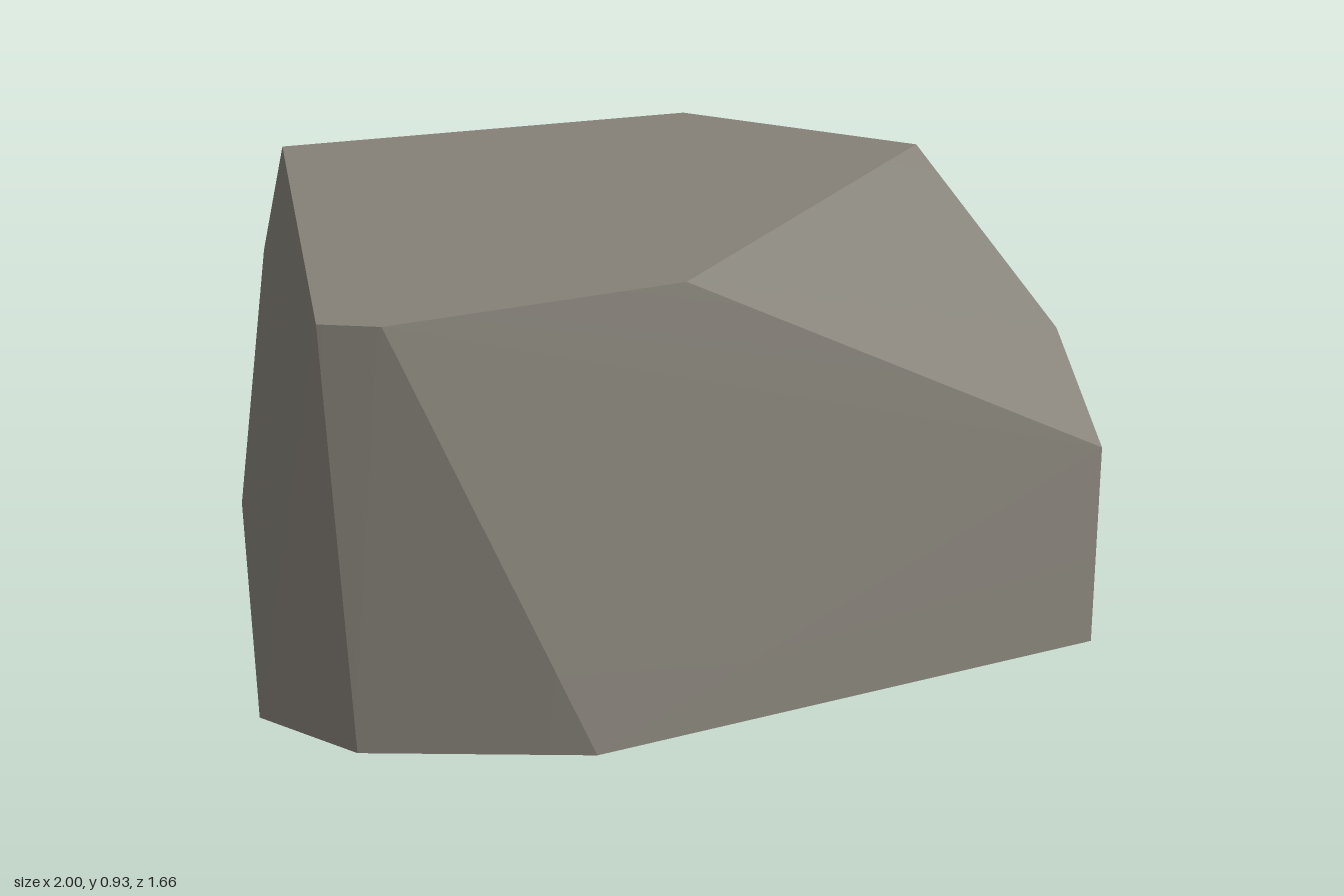
import * as THREE from 'three';
import { ConvexGeometry } from 'three/addons/geometries/ConvexGeometry.js';
import { toCreasedNormals } from 'three/addons/utils/BufferGeometryUtils.js';

export function createModel() {
  const group = new THREE.Group();
  group.name = 'boulder';
  const stone = new THREE.MeshStandardMaterial({ color: 0x858178 });
  stone.name = 'warm grey stone';

  // Flat top and flat base outlines as x, z
  const top = [[-0.83, -0.24], [0.1, -0.53], [0.64, -0.28], [0.1, 0.6], [-0.45, 0.83], [-0.57, 0.82]];
  const base = [
    [-1, -0.22], [0.65, -0.83], [0.74, -0.83], [0.92, -0.47], [1, -0.02],
    [1, 0.39], [-0.07, 0.83], [-0.55, 0.83], [-0.77, 0.71],
  ];
  // Corners where the broken facets meet the sides, as x, y, z
  const shoulders = [
    [-0.93, 0.61, -0.4], [0.3, 0.53, -0.83], [0.57, 0.43, -0.83],
    [0.935, 0.6, 0.04], [0.995, 0.44, 0.32],
  ];

  const points = [
    ...top.map(([x, z]) => new THREE.Vector3(x, 0.925, z)),
    ...base.map(([x, z]) => new THREE.Vector3(x, 0, z)),
    ...shoulders.map((p) => new THREE.Vector3(...p)),
  ];

  // Chipped rock: sharp main edges, soft shading across gently bent sides
  const rock = new THREE.Mesh(toCreasedNormals(new ConvexGeometry(points), 0.4), stone);
  rock.name = 'rock';
  group.add(rock);
  return group;
}
